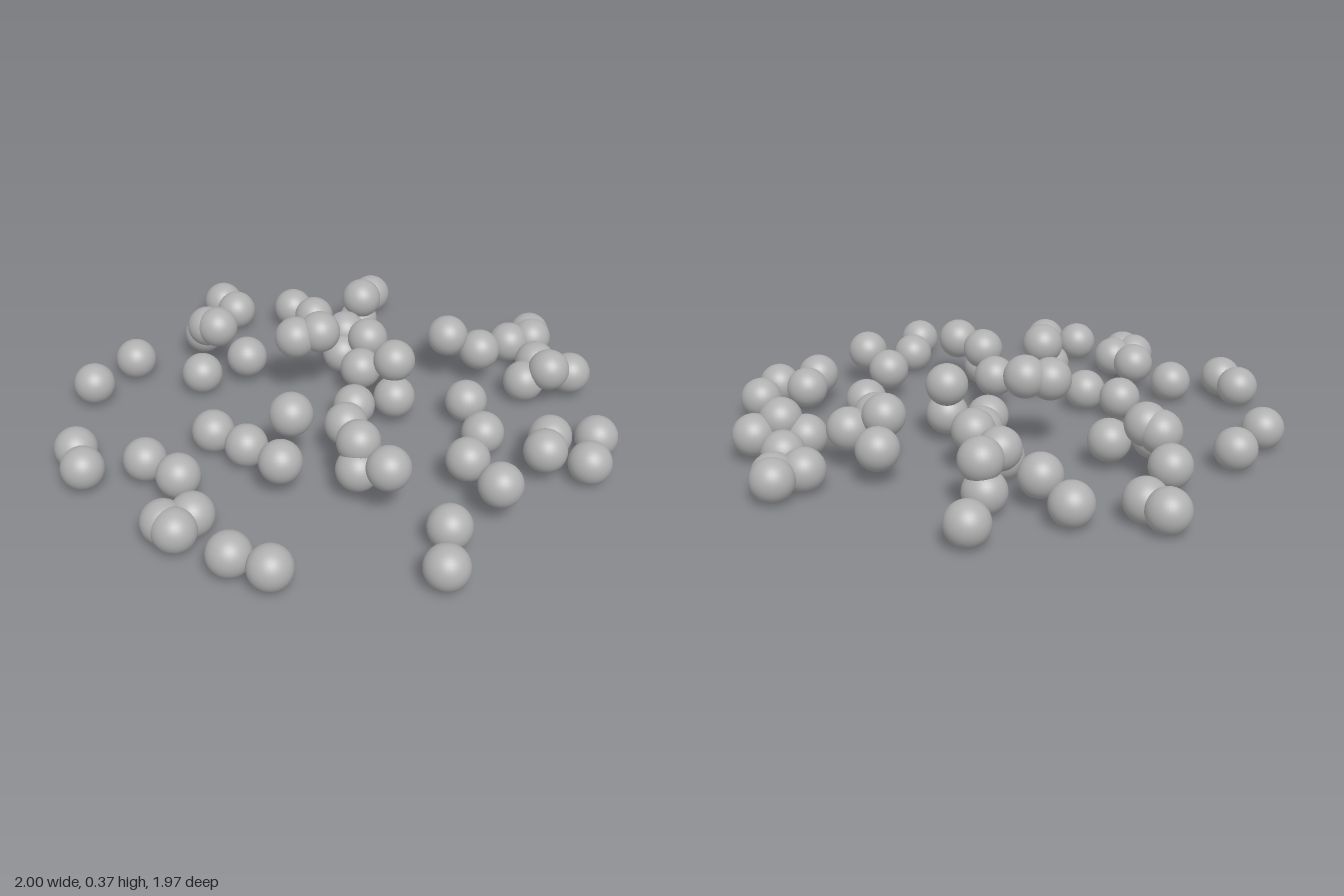
import * as THREE from 'three';

const RADIUS = 0.078;

// beads lying on the ground: [x, z]
const groundBeads = [
  [-0.49, -0.83], [-0.26, -0.845], [0.307, -0.913], [0.285, -0.815], [-0.17, -0.565],
  [0.455, -0.645], [0.765, -0.47], [0.555, -0.37], [-0.82, -0.55], [-0.885, -0.44],
  [-0.71, -0.31], [-0.43, -0.25], [-0.42, -0.095], [0.3, -0.245], [-0.915, -0.005],
  [-0.922, 0.055], [-0.825, 0.04], [-0.895, 0.275], [-0.86, 0.42], [0.03, 0.035],
  [0.185, 0.51], [-0.335, 0.735], [-0.505, 0.845], [0.425, 0.84], [0.27, 0.905],
  [0.795, 0.22], [0.918, 0.24], [0.885, 0.27], [0.735, 0.385], [0.58, 0.43],
];

// beads off the ground: [x, y, z]
const raisedBeads = [
  [0.04, 0.095, -0.76], [-0.017, 0.18, -0.68], [-0.015, 0.195, -0.625], [0, 0.105, -0.485],
  [0.405, 0.115, -0.485], [0.55, 0.185, -0.35], [-0.73, 0.108, -0.12], [0.01, 0.28, -0.235],
  [0.08, 0.295, -0.175], [0.36, 0.14, -0.28], [0.335, 0.165, -0.145], [0.205, 0.115, -0.075],
  [-0.47, 0.13, 0.115], [-0.36, 0.25, 0.07], [-0.17, 0.15, 0.16], [0.145, 0.1, 0.135],
  [0.18, 0.23, 0.105], [-0.32, 0.115, 0.335], [-0.285, 0.2, 0.31], [-0.335, 0.195, 0.48],
  [0.3, 0.095, 0.355], [-0.035, 0.12, 0.595], [-0.11, 0.14, 0.78], [0.18, 0.12, 0.775],
  [0.285, 0.105, 0.73], [0.6, 0.13, 0.06], [0.495, 0.205, 0.125], [0.565, 0.15, 0.23],
  [0.625, 0.138, 0.51], [0.72, 0.095, 0.55],
];

export function createModel() {
  const model = new THREE.Group();
  model.name = 'scatteredBeads';

  const grey = new THREE.MeshStandardMaterial({ color: 0xb0b0b0 });
  grey.name = 'bead grey';
  const sphere = new THREE.SphereGeometry(RADIUS, 32, 20);

  const addBeads = (groupName, beadName, centres) => {
    const group = new THREE.Group();
    group.name = groupName;
    for (const [x, y, z] of centres) {
      const bead = new THREE.Mesh(sphere, grey);
      bead.name = beadName;
      bead.position.set(x, y, z);
      group.add(bead);
    }
    model.add(group);
  };

  addBeads('groundBeads', 'groundBead', groundBeads.map(([x, z]) => [x, RADIUS, z]));
  addBeads('raisedBeads', 'raisedBead', raisedBeads);
  return model;
}
